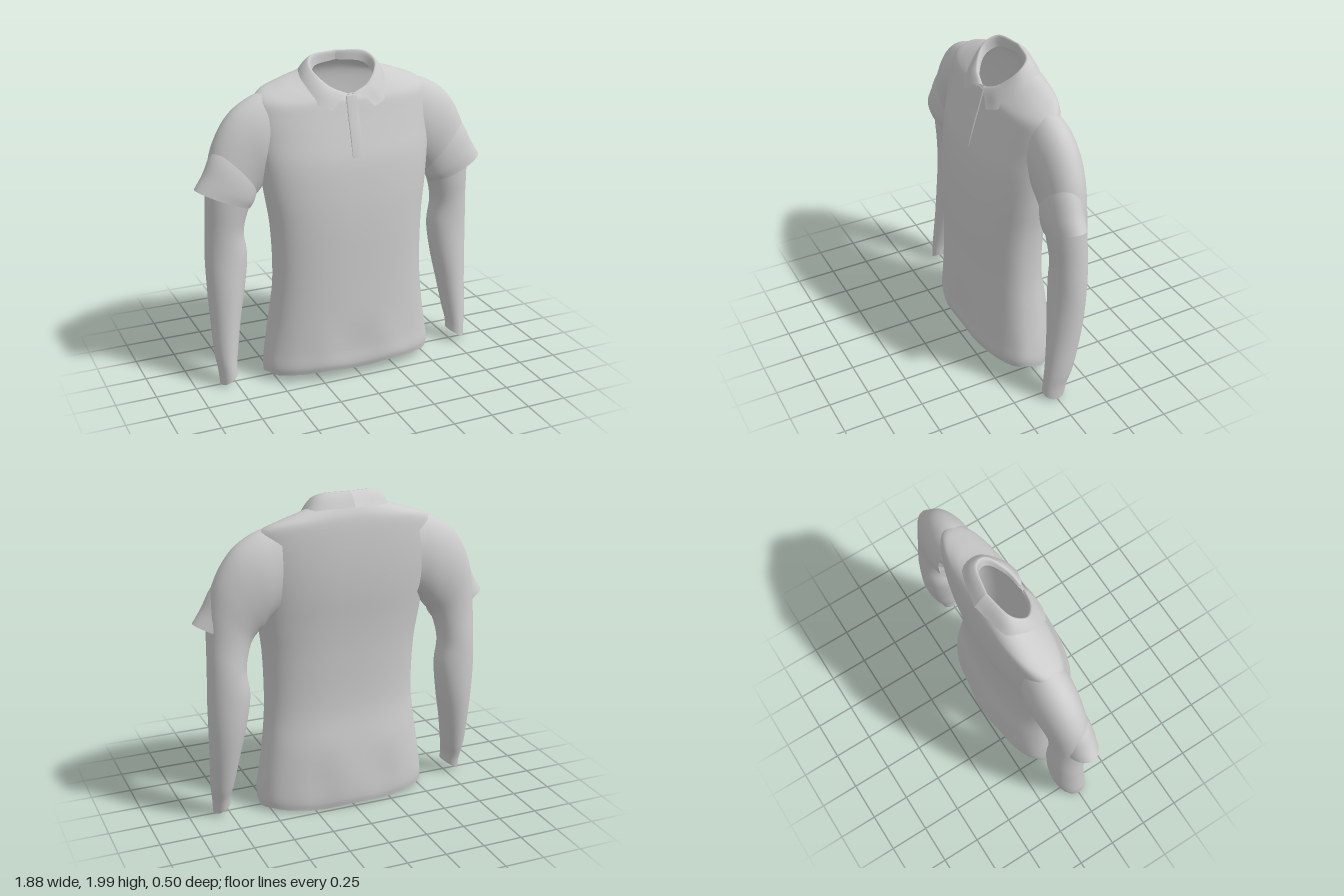
import * as THREE from 'three';

const fabric = new THREE.MeshStandardMaterial({ color: 0xcccccc, side: THREE.DoubleSide });
fabric.name = 'light grey fabric';

// Skin a grid of columns; each column is a smooth curve through its points
function skin(name, columns, steps, closed) {
  const rows = steps + 1, pos = [], idx = [];
  columns.forEach(c => new THREE.CatmullRomCurve3(c, false, 'centripetal')
    .getPoints(steps).forEach(p => pos.push(p.x, p.y, p.z)));
  const n = columns.length;
  for (let j = 0; j < (closed ? n : n - 1); j++) {
    for (let i = 0; i < steps; i++) {
      const a = j * rows + i, b = ((j + 1) % n) * rows + i;
      idx.push(a, a + 1, b, b, a + 1, b + 1);
    }
  }
  const g = new THREE.BufferGeometry();
  g.setAttribute('position', new THREE.Float32BufferAttribute(pos, 3));
  g.setIndex(idx);
  g.computeVertexNormals();
  const mesh = new THREE.Mesh(g, fabric);
  mesh.name = name;
  return mesh;
}

// Closed loft: place(ring, cos, sin) gives a point of a ring
function loft(name, rings, sides, steps, power, place) {
  const round = v => Math.sign(v) * Math.abs(v) ** (2 / power);
  const columns = [];
  for (let j = 0; j < sides; j++) {
    const t = j / sides * Math.PI * 2;
    columns.push(rings.map(r => place(r, round(Math.cos(t)), round(Math.sin(t)), t)));
  }
  return skin(name, columns, steps, true);
}

// Sleeve ring: outer x, y, inner x, y, front z, back z
const sleevePoint = ([ox, oy, ix, iy, zf, zb], c, s) => new THREE.Vector3(
  (ox + ix) / 2 + c * (ox - ix) / 2,
  (oy + iy) / 2 + c * (oy - iy) / 2,
  (zf + zb) / 2 + s * (zf - zb) / 2);

// Torso ring: front y, side y, back y, half width, front z, back z
const torsoPoint = ([yf, ys, yb, w, zf, zb], c, s, t) => {
  const fold = ys < 0.3 ? 0.006 * Math.sin(t * 7) + 0.004 * Math.sin(t * 11) : 0;
  return new THREE.Vector3(
    c * w,
    ys + s * (yf - yb) / 2 + s * s * ((yf + yb) / 2 - ys) + (ys < 0.1 ? fold : 0),
    (zf + zb) / 2 + s * ((zf - zb) / 2 + fold));
};

const torsoRings = [
  [0.07, 0.04, 0.015, 0.55, 0.235, -0.235],
  [0.11, 0.09, 0.06, 0.553, 0.245, -0.243],
  [0.2, 0.2, 0.2, 0.54, 0.24, -0.24],
  [0.4, 0.4, 0.4, 0.51, 0.235, -0.228],
  [0.65, 0.65, 0.65, 0.485, 0.23, -0.195],
  [1.0, 1.0, 1.0, 0.493, 0.225, -0.2],
  [1.2, 1.2, 1.2, 0.52, 0.213, -0.215],
  [1.4, 1.4, 1.4, 0.545, 0.187, -0.237],
  [1.54, 1.55, 1.57, 0.557, 0.148, -0.246],
  [1.65, 1.69, 1.73, 0.56, 0.115, -0.244],
  [1.72, 1.785, 1.83, 0.535, 0.095, -0.236],
  [1.75, 1.84, 1.875, 0.41, 0.085, -0.225],
  [1.77, 1.885, 1.92, 0.26, 0.07, -0.2],
  [1.785, 1.915, 1.96, 0.2, 0.06, -0.17]
];

const armRings = [
  [0.845, 0.015, 0.735, 0.085, 0.075, -0.07],
  [0.85, 0.1, 0.735, 0.14, 0.07, -0.085],
  [0.863, 0.2, 0.72, 0.22, 0.06, -0.115],
  [0.87, 0.4, 0.685, 0.42, 0.042, -0.16],
  [0.876, 0.6, 0.645, 0.62, 0.03, -0.19],
  [0.88, 0.82, 0.62, 0.82, 0.018, -0.2],
  [0.873, 1.0, 0.638, 0.97, 0.02, -0.198],
  [0.868, 1.18, 0.615, 1.09, 0.035, -0.19],
  [0.855, 1.36, 0.59, 1.15, 0.045, -0.192],
  [0.805, 1.54, 0.56, 1.19, 0.045, -0.205],
  [0.7, 1.7, 0.53, 1.22, 0.05, -0.22],
  [0.57, 1.785, 0.5, 1.26, 0.055, -0.228],
  [0.43, 1.825, 0.45, 1.3, 0.045, -0.22]
];

const cuffRings = [
  [0.94, 1.275, 0.605, 1.125, 0.055, -0.15],
  [0.885, 1.36, 0.58, 1.16, 0.06, -0.16],
  [0.83, 1.47, 0.555, 1.24, 0.052, -0.17],
  [0.75, 1.57, 0.55, 1.36, 0.02, -0.15]
];

// Half of the folded collar, from the front point round to the back centre
function collarHalf() {
  const edge = pts => new THREE.CatmullRomCurve3(pts.map(p => new THREE.Vector3(...p)))
    .getPoints(28);
  const inner = edge([[0.01, 1.77, 0.06], [0.11, 1.8, 0.035], [0.188, 1.87, -0.04],
    [0.16, 1.92, -0.11], [0, 1.94, -0.16]]);
  const top = edge([[0.015, 1.785, 0.075], [0.125, 1.835, 0.045], [0.208, 1.935, -0.04],
    [0.175, 1.985, -0.115], [0, 1.998, -0.158]]);
  const fold = edge([[0.07, 1.765, 0.098], [0.165, 1.81, 0.065], [0.24, 1.91, -0.045],
    [0.205, 1.96, -0.14], [0, 1.975, -0.19]]);
  const outer = edge([[0.135, 1.705, 0.122], [0.215, 1.735, 0.085], [0.285, 1.84, -0.045],
    [0.245, 1.895, -0.165], [0, 1.915, -0.238]]);
  return skin('collarHalf', inner.map((p, i) => [p, top[i], fold[i], outer[i]]), 12, false);
}

// Button strip lying on the chest, with thin turned-in edges
function placket() {
  const line = [[1.425, 0.181], [1.5, 0.163], [1.57, 0.144], [1.66, 0.116], [1.775, 0.083]];
  const across = [[-0.034, -0.004], [-0.032, 0.007], [0.032, 0.007], [0.034, -0.004]];
  return skin('placket', across.map(([x, d]) =>
    line.map(([y, z]) => new THREE.Vector3(x, y, z + d))), 16, false);
}

export function createModel() {
  const model = new THREE.Group();
  model.name = 'poloShirt';
  model.add(loft('torso', torsoRings, 72, 64, 2.35, torsoPoint), placket());

  // Arms, short over-sleeves and collar halves, mirrored
  for (const side of [1, -1]) {
    const half = new THREE.Group();
    half.name = side > 0 ? 'leftSide' : 'rightSide';
    half.add(
      loft('longSleeve', armRings, 40, 60, 2, sleevePoint),
      loft('shortSleeveCuff', cuffRings, 40, 16, 2, sleevePoint),
      collarHalf());
    half.scale.x = side;
    model.add(half);
  }
  return model;
}
